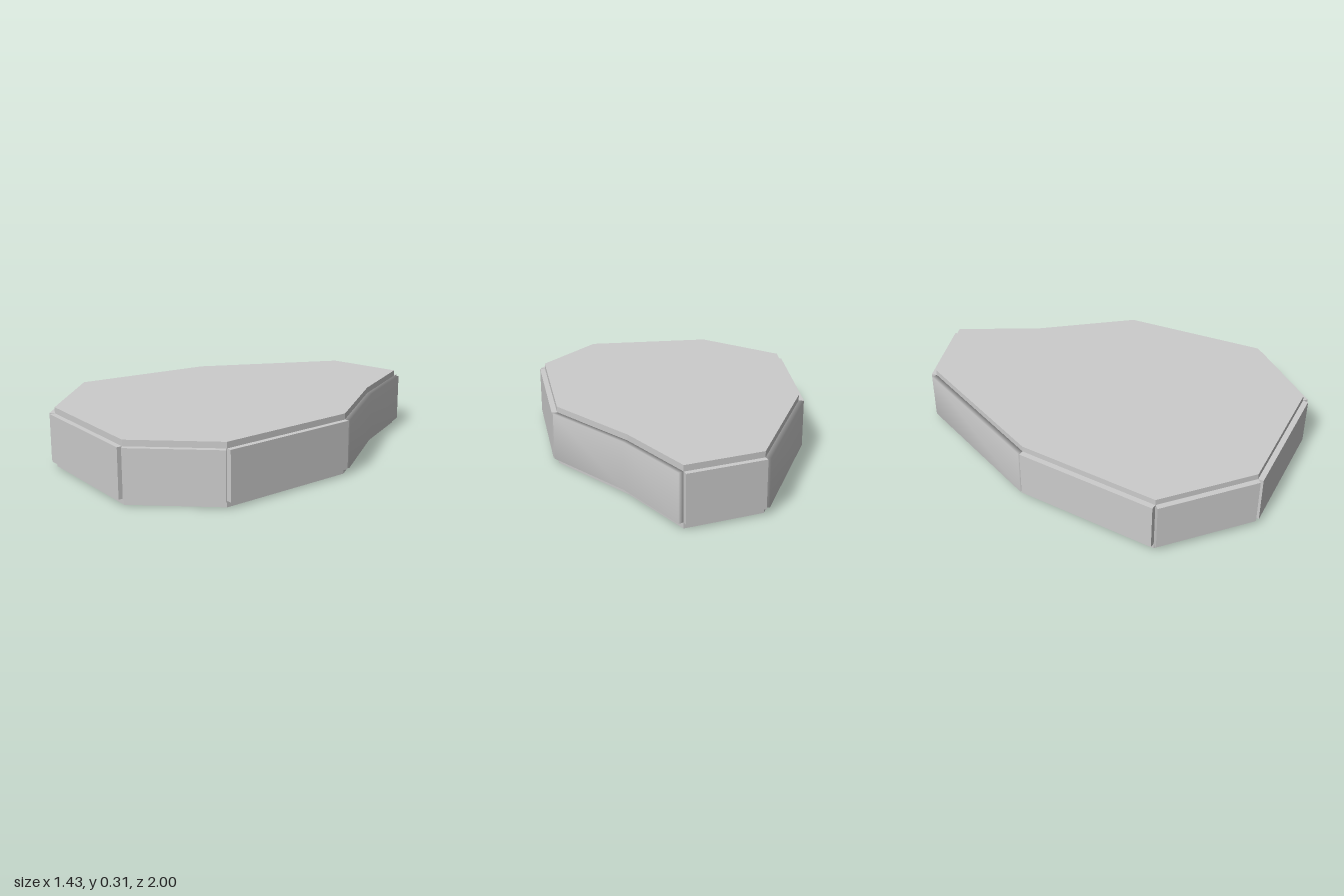
import * as THREE from 'three';
import { mergeVertices } from 'three/addons/utils/BufferGeometryUtils.js';

// outline corners as [x, z], clockwise seen from above
const OUTLINE = [
  [-0.285, -0.865], [0.11, -0.972], [0.32, -0.57], [0.64, -0.13], [0.685, 0.61],
  [0.38, 0.972], [-0.305, 0.972], [-0.687, 0.61], [-0.63, -0.13],
];
const THICK = 0.028;
const material = new THREE.MeshStandardMaterial({ color: 0xcccccc, side: THREE.DoubleSide });

// extrude an [x, z] outline upwards from y0 to y1
function prism(points, y0, y1) {
  const shape = new THREE.Shape(points.map(([x, z]) => new THREE.Vector2(x, -z)));
  const g = new THREE.ExtrudeGeometry(shape, { depth: y1 - y0, bevelEnabled: false });
  return g.rotateX(-Math.PI / 2).translate(0, y0, 0);
}

// outline of a strip lying outside a polyline: square ends, mitred bends
function strip(line) {
  const normals = line.slice(1).map(([x, z], i) => {
    const dx = x - line[i][0], dz = z - line[i][1], l = Math.hypot(dx, dz);
    return [dz / l, -dx / l];
  });
  const outer = line.map(([x, z], i) => {
    const a = normals[Math.max(i - 1, 0)], b = normals[Math.min(i, normals.length - 1)];
    const k = THICK / (1 + a[0] * b[0] + a[1] * b[1]);
    return [x + (a[0] + b[0]) * k, z + (a[1] + b[1]) * k];
  });
  return [...line, ...outer.reverse()];
}

// share corner normals so the panel shades softly
function soften(g) {
  g.deleteAttribute('normal');
  g.deleteAttribute('uv');
  const merged = mergeVertices(g, 1e-4);
  merged.computeVertexNormals();
  return merged;
}

export function createModel() {
  const group = new THREE.Group();
  const add = (name, geometry) => {
    const mesh = new THREE.Mesh(geometry, material);
    mesh.name = name;
    group.add(mesh);
  };

  // full-height core slab
  add('slab', prism(OUTLINE, 0, 0.312));

  // edge panels, slightly lower than the slab: name, corner indices, soft shading
  const panels = [
    ['backPanel', [0, 1], false],
    ['backLeftBentPanel', [1, 2, 3], true],
    ['leftPanel', [3, 4], false],
    ['frontLeftPanel', [4, 5], false],
    ['frontPanel', [5, 6], false],
    ['frontRightPanel', [6, 7], false],
    ['rightPanel', [7, 8], false],
    ['backRightPanel', [8, 0], true],
  ];
  for (const [name, ids, soft] of panels) {
    const g = prism(strip(ids.map((i) => OUTLINE[i])), 0.031, 0.281);
    add(name, soft ? soften(g) : g);
  }
  return group;
}
